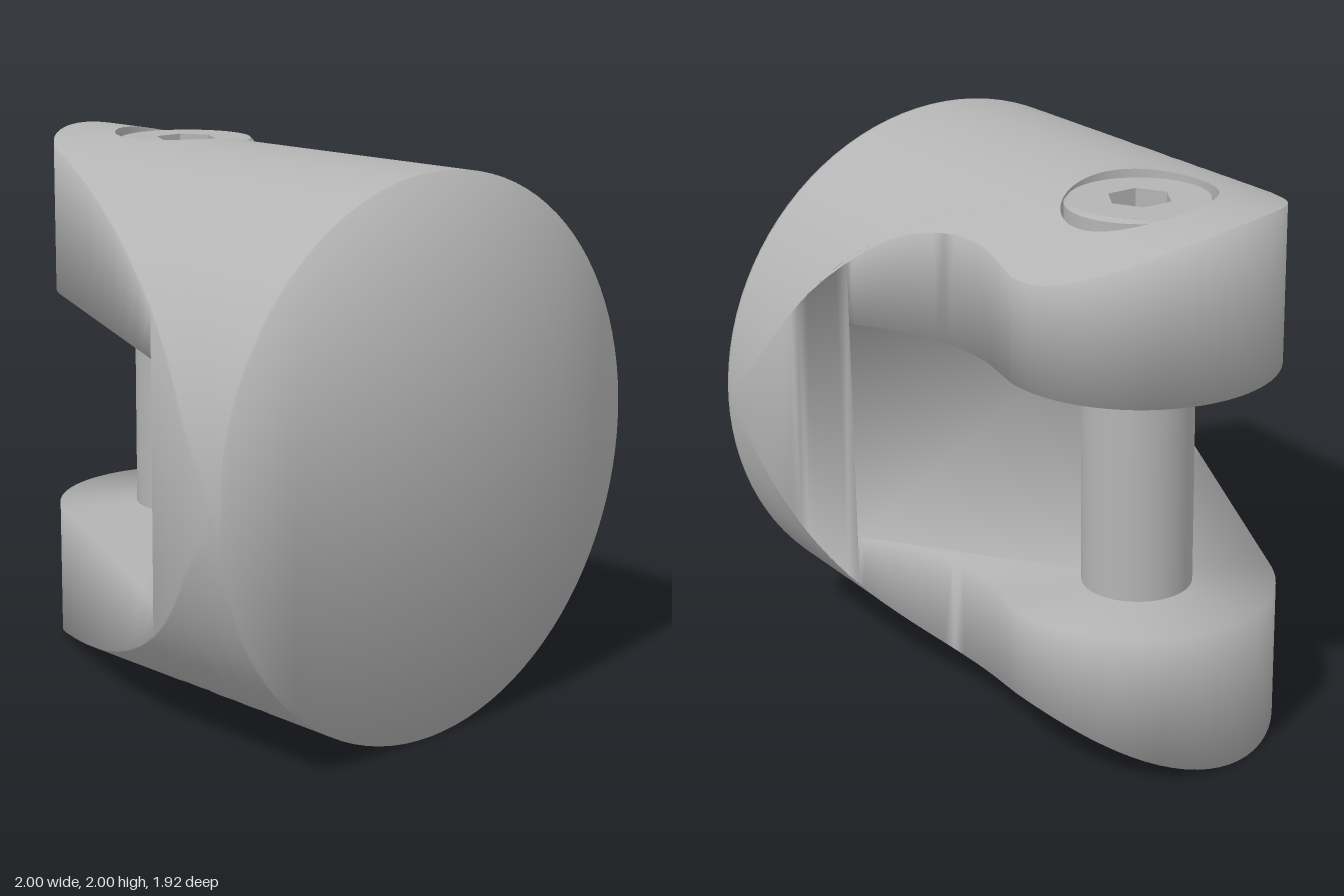
import * as THREE from 'three';

const BOLT = { x: 0.13, z: -0.46 };
const FRONT = 0.957, SLOT_Z = 0.43, SLOT_LOW = 0.555, SLOT_HIGH = 1.4, BORE = 0.268;

// Half height of the round bar at a given x
const half = (x) => Math.sqrt(Math.max(0, 1 - x * x));
const topOf = (p) => [p[0], 1 + half(p[0]), p[1]];
const bottomOf = (p) => [p[0], 1 - half(p[0]), p[1]];
const at = (p, y) => [p[0], y, p[1]];

// Collects triangles, then averages face normals at shared corners
class Surface {
  constructor() { this.pos = []; }
  tri(a, b, c) { this.pos.push(...a, ...b, ...c); }
  quad(a, b, c, d) { this.tri(a, b, c); this.tri(a, c, d); }
  build() {
    const sums = new Map(), keys = [], normals = [];
    const v = (i) => new THREE.Vector3().fromArray(this.pos, i);
    for (let i = 0; i < this.pos.length; i += 9) {
      const a = v(i), b = v(i + 3), c = v(i + 6);
      const n = b.clone().sub(a).cross(c.clone().sub(a));
      if (n.length() > 1e-9) n.normalize(); else n.set(0, 0, 0);
      for (const p of [a, b, c]) {
        const key = p.toArray().map((q) => Math.round(q * 1e4)).join();
        keys.push(key);
        if (!sums.has(key)) sums.set(key, new THREE.Vector3());
        sums.get(key).add(n);
      }
    }
    for (const key of keys) normals.push(...sums.get(key).clone().normalize().toArray());
    const g = new THREE.BufferGeometry();
    g.setAttribute('position', new THREE.Float32BufferAttribute(this.pos, 3));
    g.setAttribute('normal', new THREE.Float32BufferAttribute(normals, 3));
    return g;
  }
}

function spline(points, n) {
  return new THREE.SplineCurve(points.map((p) => new THREE.Vector2(...p)))
    .getPoints(n).map((p) => [Math.min(p.x, 1), p.y]);
}

// Plan outline, counter-clockwise from above, in two runs that meet at the slot
function outline() {
  const slotRight = [0.765, SLOT_Z], slotLeft = [-0.825, SLOT_Z];
  const arm = spline([slotRight, [0.72, 0.36], [0.66, 0.25], [0.61, 0.12], [0.582, -0.03],
    [0.583, -0.18], [0.605, -0.3], [0.63, -0.42]], 20);
  const start = 0.05, end = Math.PI - 0.44;
  for (let i = 0; i <= 28; i++) {
    const a = start + (end - start) * i / 28;
    arm.push([BOLT.x + 0.5 * Math.cos(a), BOLT.z - 0.5 * Math.sin(a)]);
  }
  const last = arm[arm.length - 1];
  for (let i = 1; i <= 8; i++) {
    arm.push([last[0] + (slotLeft[0] - last[0]) * i / 8, last[1] + (slotLeft[1] - last[1]) * i / 8]);
  }
  const column = spline([slotLeft, [-0.94, 0.68], [-0.98, 0.78], [-0.998, 0.88], [-1, FRONT]], 12);
  for (let i = 1; i <= 48; i++) column.push([-Math.cos(Math.PI * i / 48), FRONT]);
  column.push(...spline([[1, FRONT], [0.995, 0.83], [0.97, 0.72], [0.92, 0.62], [0.86, 0.54], slotRight], 14).slice(1));
  return { arm, column };
}

export function createModel() {
  const model = new THREE.Group();
  const steel = new THREE.MeshStandardMaterial({ color: 0xb4b4b4 });
  steel.name = 'grey steel';
  const add = (name, geometry, x = 0, y = 0, z = 0) => {
    const mesh = new THREE.Mesh(geometry, steel);
    mesh.name = name;
    mesh.position.set(x, y, z);
    model.add(mesh);
    return mesh;
  };

  const { arm, column } = outline();
  const loop = [...arm, ...column.slice(1, -1)];
  const centre = [BOLT.x, BOLT.z];
  const body = new Surface(), bore = new Surface();

  // Point on the ray from the bolt axis to the outline, starting at radius r
  const ray = (p, r, t) => {
    const dx = p[0] - centre[0], dz = p[1] - centre[1], s = r / Math.hypot(dx, dz);
    const k = s + (1 - s) * t;
    return [centre[0] + dx * k, centre[1] + dz * k];
  };

  // Curved top with the bolt bore, and curved underside
  const RINGS = 12;
  const ease = (k) => Math.sin(k / RINGS * Math.PI / 2);
  loop.forEach((p, i) => {
    const q = loop[(i + 1) % loop.length];
    for (let k = 0; k < RINGS; k++) {
      const t = ease(k), u = ease(k + 1);
      body.quad(topOf(ray(p, BORE, t)), topOf(ray(p, BORE, u)), topOf(ray(q, BORE, u)), topOf(ray(q, BORE, t)));
      body.quad(bottomOf(ray(q, 0, t)), bottomOf(ray(q, 0, u)), bottomOf(ray(p, 0, u)), bottomOf(ray(p, 0, t)));
    }
    const a = ray(p, BORE, 0), b = ray(q, BORE, 0);
    bore.quad(at(b, 1.87), at(a, 1.87), topOf(a), topOf(b));
  });

  // Side walls and round front face of the column
  for (let i = 0; i < column.length - 1; i++) {
    const p = column[i], q = column[i + 1];
    body.quad(bottomOf(p), bottomOf(q), topOf(q), topOf(p));
  }

  // Side walls of both arms and their flat faces inside the slot
  arm.forEach((p, i) => {
    const q = arm[(i + 1) % arm.length];
    if (i < arm.length - 1) {
      body.quad(at(p, SLOT_HIGH), at(q, SLOT_HIGH), topOf(q), topOf(p));
      body.quad(bottomOf(p), bottomOf(q), at(q, SLOT_LOW), at(p, SLOT_LOW));
    }
    body.tri(at(centre, SLOT_HIGH), at(q, SLOT_HIGH), at(p, SLOT_HIGH));
    body.tri(at(centre, SLOT_LOW), at(p, SLOT_LOW), at(q, SLOT_LOW));
  });

  // Back wall of the slot
  const right = arm[0], left = arm[arm.length - 1];
  body.quad(at(right, SLOT_LOW), at(left, SLOT_LOW), at(left, SLOT_HIGH), at(right, SLOT_HIGH));

  add('body', body.build());
  add('boltBore', bore.build());
  add('boreFloor', new THREE.CircleGeometry(BORE, 48).rotateX(-Math.PI / 2), BOLT.x, 1.875, BOLT.z);

  // Pin across the slot
  add('pin', new THREE.CylinderGeometry(0.2, 0.2, SLOT_HIGH - SLOT_LOW + 0.04, 48, 1, true),
    BOLT.x, (SLOT_HIGH + SLOT_LOW) / 2, BOLT.z);

  // Bolt head with a hexagonal socket
  const head = new THREE.Shape().absarc(0, 0, 0.245, 0, Math.PI * 2, false);
  const hex = [];
  for (let i = 0; i < 6; i++) {
    hex.push(new THREE.Vector2(0.116 * Math.cos(i * Math.PI / 3), 0.116 * Math.sin(i * Math.PI / 3)));
  }
  head.holes.push(new THREE.Path(hex));
  add('boltHead', new THREE.ExtrudeGeometry(head, {
    depth: 0.105, curveSegments: 48, bevelEnabled: false,
  }).rotateX(-Math.PI / 2), BOLT.x, 1.87, BOLT.z);
  add('boltHeadRim', new THREE.CylinderGeometry(0.245, 0.258, 0.015, 48, 1, true), BOLT.x, 1.9675, BOLT.z);
  add('boltHeadSide', new THREE.CylinderGeometry(0.258, 0.258, 0.09, 48, 1, true), BOLT.x, 1.915, BOLT.z);
  add('socketFloor', new THREE.CircleGeometry(0.116, 6).rotateX(-Math.PI / 2), BOLT.x, 1.885, BOLT.z);

  return model;
}
